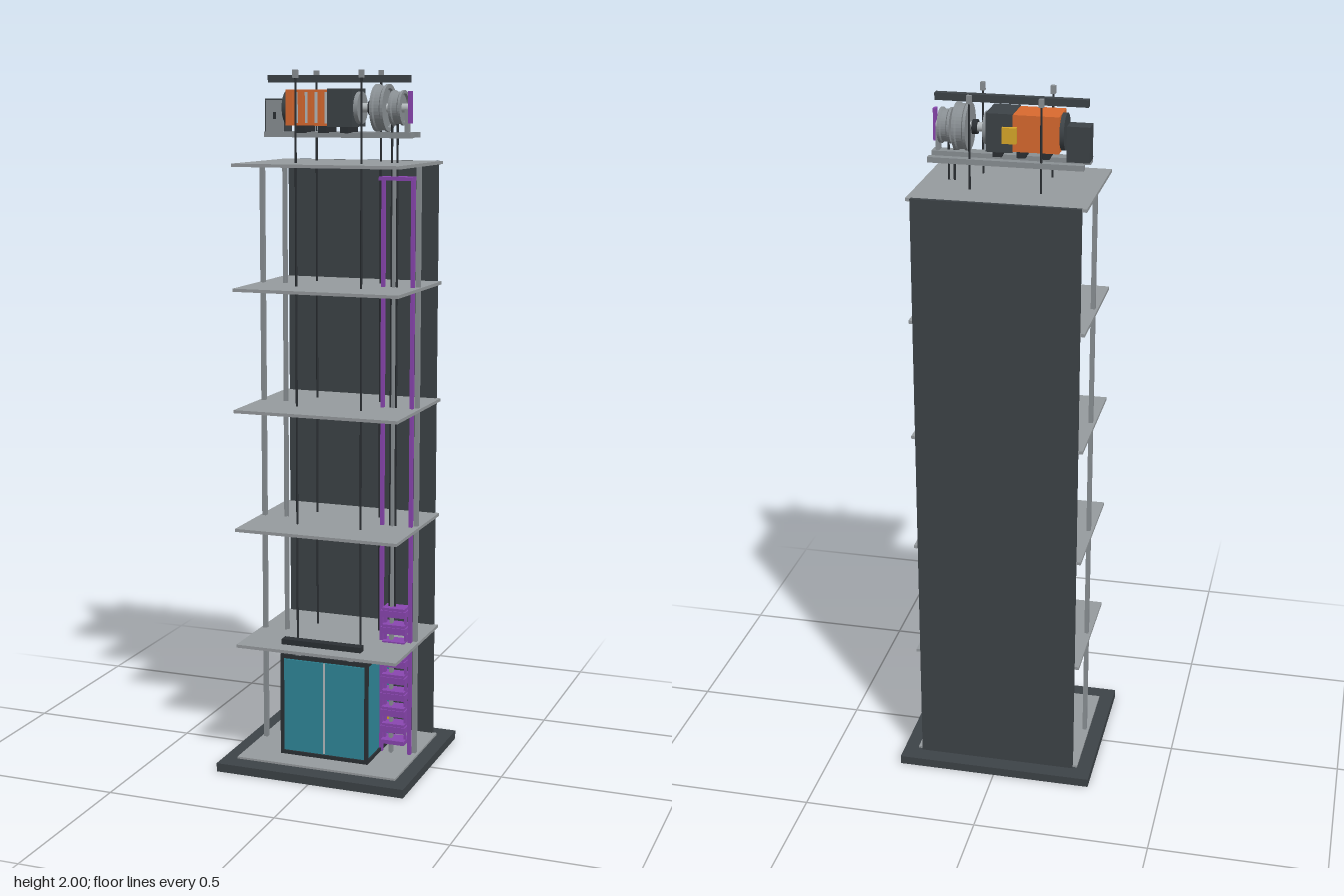
import * as THREE from 'three';

const mat = (color) => new THREE.MeshStandardMaterial({ color });
const M = {
  dark: mat(0x3d4347), black: mat(0x2b2f33), floor: mat(0x969b9e), steel: mat(0x8a9094), light: mat(0xb4babd),
  teal: mat(0x2f8799), orange: mat(0xd96a2f), purple: mat(0x8a46b0), yellow: mat(0xd9a82a),
};

export function createModel() {
  const model = new THREE.Group();
  let parent = model;
  const group = (name) => {
    parent = new THREE.Group();
    parent.name = name;
    model.add(parent);
  };
  const add = (name, geometry, material) => {
    const mesh = new THREE.Mesh(geometry, material);
    mesh.name = name;
    parent.add(mesh);
    return mesh;
  };
  // Box given by its limits on each axis
  const box = (name, material, x0, x1, y0, y1, z0, z1) => {
    const mesh = add(name, new THREE.BoxGeometry(x1 - x0, y1 - y0, z1 - z0), material);
    mesh.position.set((x0 + x1) / 2, (y0 + y1) / 2, (z0 + z1) / 2);
    return mesh;
  };
  // Vertical rod
  const rod = (name, material, r, x, y0, y1, z) => {
    const mesh = add(name, new THREE.CylinderGeometry(r, r, y1 - y0, 10), material);
    mesh.position.set(x, (y0 + y1) / 2, z);
  };
  // Turned part on the machine's horizontal axis
  const axisY = 1.897;
  const drum = (name, material, r, x0, x1, z = 0) => {
    const mesh = add(name, new THREE.CylinderGeometry(r, r, x1 - x0, 40), material);
    mesh.rotation.z = Math.PI / 2;
    mesh.position.set((x0 + x1) / 2, axisY, z);
  };
  // Grooved wheel: a closed ring profile turned about the machine axis
  const wheel = (name, r, x0, x1) => {
    const h = (x1 - x0) / 2;
    const profile = [[0.012, -h], [r, -h], [r, -h * 0.6], [r - 0.004, -h * 0.4], [r - 0.004, h * 0.4], [r, h * 0.6],
      [r, h], [r * 0.82, h], [r * 0.78, h * 0.6], [0.018, h * 0.6], [0.012, h * 0.6]];
    const geometry = new THREE.LatheGeometry(profile.map(([a, b]) => new THREE.Vector2(a, b)), 40).toNonIndexed();
    geometry.computeVertexNormals();
    const mesh = add(name, geometry, M.steel);
    mesh.rotation.z = -Math.PI / 2;
    mesh.position.set((x0 + x1) / 2, axisY, 0);
  };

  // Shaft structure
  group('shaft');
  box('basePlate', M.dark, -0.285, 0.285, 0, 0.025, -0.25, 0.25);
  box('pitFloor', M.floor, -0.243, 0.243, 0.025, 0.031, -0.195, 0.195);
  box('backWall', M.dark, -0.23, 0.23, 0.025, 1.747, -0.202, -0.19);
  for (const y of [0.372, 0.716, 1.06, 1.403, 1.747])
    box('landingFloor', M.floor, -0.243, 0.243, y - 0.009, y, -0.195, 0.195);
  box('leftPost', M.steel, 0.224, 0.236, 0.03, 1.74, -0.026, -0.012);
  box('rightPost', M.steel, -0.236, -0.224, 0.03, 1.74, 0.0, 0.014);

  // Cabin guide rails with T section
  group('guideRails');
  for (const s of [-1, 1]) {
    const x = s * 0.165;
    box('railBack', M.steel, x - 0.003, x + 0.003, 0.03, 1.74, -0.009, 0.009);
    box('railBlade', M.steel, x - 0.004 - s * 0.004, x + 0.004 - s * 0.004, 0.03, 1.74, -0.002, 0.002);
  }

  // Cabin with framed edges and two sliding doors
  group('cabin');
  box('cabinBody', M.teal, -0.131, 0.129, 0.04, 0.325, -0.118, 0.118);
  box('cabinFloor', M.black, -0.136, 0.134, 0.031, 0.042, -0.123, 0.123);
  box('cabinRoof', M.black, -0.136, 0.134, 0.323, 0.335, -0.123, 0.123);
  box('roofCap', M.black, -0.122, 0.12, 0.335, 0.348, -0.11, 0.11);
  for (const x of [-0.131, 0.129])
    for (const z of [-0.118, 0.118])
      box('cornerPost', M.black, x - 0.005, x + 0.005, 0.04, 0.325, z - 0.005, z + 0.005);
  for (const x of [-0.064, 0.062])
    box('doorPanel', M.teal, x - 0.06, x + 0.06, 0.045, 0.32, 0.117, 0.121);
  box('doorSeam', M.light, -0.003, 0.001, 0.045, 0.32, 0.117, 0.122);
  for (const [x, s] of [[-0.131, -1], [0.129, 1]])
    for (const z of [-0.111, 0.111])
      box('sideTrim', M.light, x - 0.002, x + 0.002, 0.045, 0.32, z - 0.0015, z + 0.0015);
  for (const z of [-0.08, 0.08])
    box('roofBeam', M.black, -0.12, 0.12, 0.348, 0.36, z - 0.008, z + 0.008);
  box('doorOperator', M.black, -0.122, 0.12, 0.372, 0.388, 0.118, 0.145);
  for (const x of [-0.08, 0.08])
    box('operatorFoot', M.steel, x - 0.008, x + 0.008, 0.335, 0.374, 0.11, 0.122);
  box('controlPanel', M.yellow, -0.163, -0.148, 0.12, 0.172, -0.012, 0.012);
  box('panelBracket', M.black, -0.15, -0.13, 0.135, 0.155, -0.008, 0.008);
  box('safetyGear', M.yellow, 0.13, 0.155, 0.125, 0.16, -0.036, -0.012);

  // Counterweight stack between its own rails
  group('counterweight');
  for (const x of [0.133, 0.22])
    box('weightRail', M.purple, x - 0.005, x + 0.005, 0.03, 1.705, -0.006, 0.006);
  box('railTie', M.purple, 0.128, 0.225, 1.7, 1.71, -0.028, 0.028);
  box('buffer', M.purple, 0.14, 0.212, 0.064, 0.076, -0.027, 0.027);
  for (let i = 0; i < 8; i++) {
    const y = 0.1 + i * 0.05;
    box('weightBlock', M.purple, 0.138, 0.214, y - 0.001, y + 0.018, -0.027, 0.027);
    box('weightCap', M.purple, 0.142, 0.21, y + 0.018, y + 0.026, -0.024, 0.024);
  }
  for (const x of [0.145, 0.207])
    box('weightTieBar', M.purple, x - 0.003, x + 0.003, 0.064, 0.46, -0.006, 0.006);

  // Hoisting ropes with their end fittings
  group('ropes');
  for (const x of [-0.098, 0.096])
    for (const z of [-0.08, 0.08]) {
      rod('cabinRope', M.black, 0.003, x, 0.348, 1.99, z);
      box('ropeAnchor', M.steel, x - 0.0065, x + 0.0065, 1.978, 2, z - 0.0065, z + 0.0065);
    }
  for (const x of [0.157, 0.173]) rod('weightRope', M.black, 0.003, x, 0.46, 1.87, 0);

  // Hoisting machine
  group('machine');
  box('bedBeam', M.steel, -0.22, 0.216, 1.815, 1.83, -0.019, 0.018);
  box('rearBedBeam', M.steel, -0.213, 0.211, 1.815, 1.83, -0.086, -0.065);
  box('topBeam', M.dark, -0.21, 0.208, 1.966, 1.986, -0.01, 0.01);
  box('controlCabinet', M.dark, -0.221, -0.159, 1.826, 1.922, -0.044, 0.006);
  box('cabinetDoor', M.steel, -0.217, -0.163, 1.83, 1.918, 0.005, 0.009);
  box('cabinetHandle', M.black, -0.194, -0.186, 1.865, 1.885, 0.008, 0.013);
  drum('motorEnd', M.dark, 0.05, -0.152, -0.139);
  box('motor', M.orange, -0.14, -0.014, 1.848, 1.947, -0.052, 0.05);
  for (let i = 0; i < 8; i++) {
    const x = -0.121 + i * 0.0147;
    box('coolingFin', i % 2 ? M.light : M.orange, x - 0.003, x + 0.003, 1.855, 1.94, 0.049, 0.056);
  }
  box('gearbox', M.dark, -0.015, 0.058, 1.845, 1.949, -0.055, 0.054);
  box('brake', M.yellow, -0.027, 0.012, 1.872, 1.915, -0.067, -0.05);
  for (const x of [-0.1, -0.035, 0.03])
    box('machineFoot', M.black, x - 0.012, x + 0.012, 1.828, 1.85, -0.04, 0.04);
  drum('gearboxCollar', M.steel, 0.044, 0.057, 0.07);
  drum('driveShaft', M.light, 0.0125, 0.06, 0.206);
  drum('shaftCoupling', M.black, 0.02, 0.091, 0.105);
  wheel('driveSheave', 0.065, 0.112, 0.15);
  wheel('deflectorSheave', 0.048, 0.16, 0.194);
  drum('sheaveHub', M.dark, 0.02, 0.15, 0.16);
  box('bearingStand', M.steel, 0.196, 0.206, 1.826, 1.9, -0.012, 0.012);
  box('governorPlate', M.purple, 0.205, 0.213, 1.855, 1.943, -0.01, 0.01);

  return model;
}
